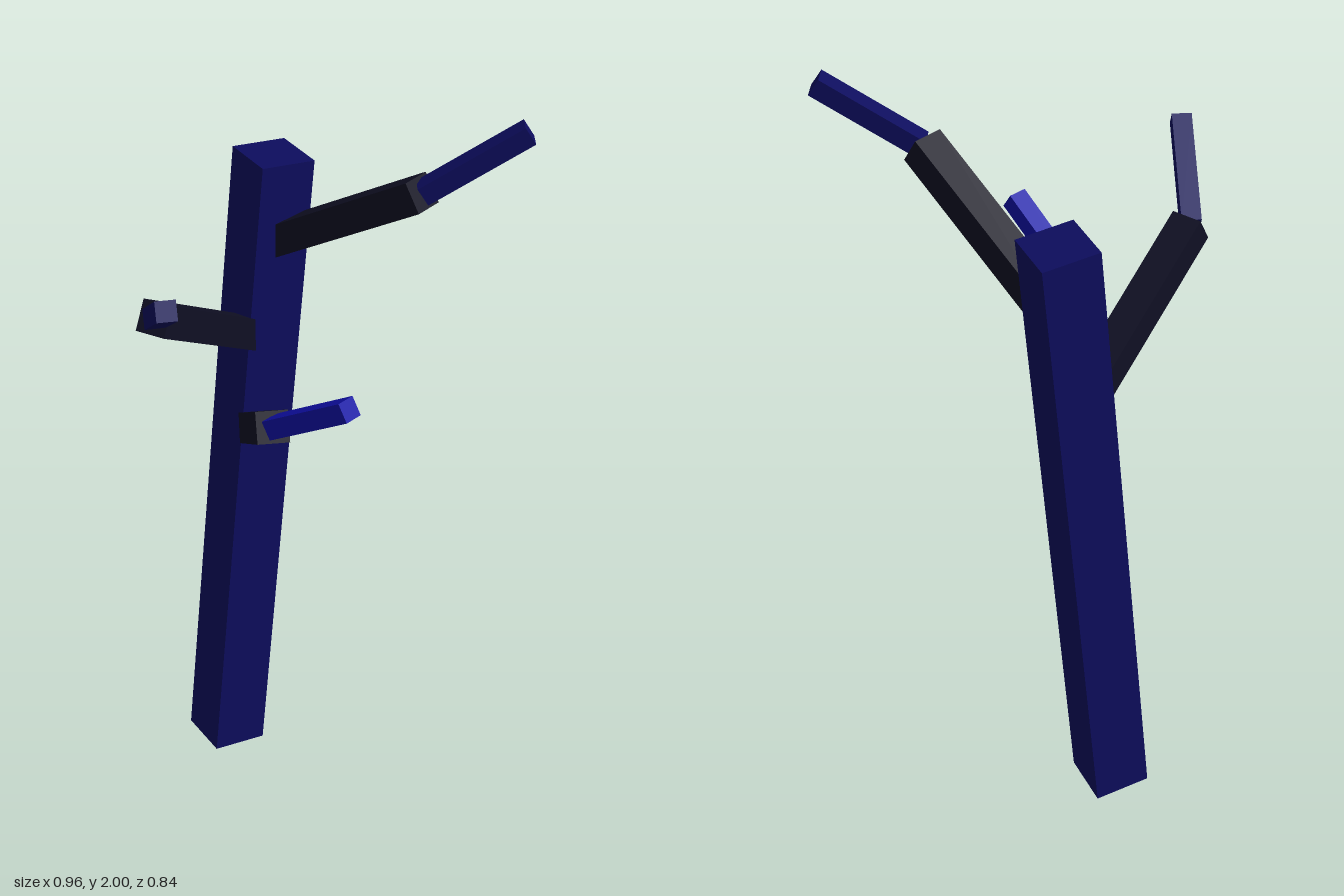
import * as THREE from 'three';

const mat = (name, color) => {
  const m = new THREE.MeshStandardMaterial({ color });
  m.name = name;
  return m;
};

// Square beam from point a to point b, keeping one pair of edges level
function beam(name, a, b, width, material) {
  const start = new THREE.Vector3(...a);
  const end = new THREE.Vector3(...b);
  const dir = end.clone().sub(start);
  const length = dir.length();
  dir.normalize();
  const side = new THREE.Vector3(0, 1, 0).cross(dir).normalize();
  const up = dir.clone().cross(side);
  const mesh = new THREE.Mesh(new THREE.BoxGeometry(width, width, length), material);
  mesh.quaternion.setFromRotationMatrix(new THREE.Matrix4().makeBasis(side, up, dir));
  mesh.position.copy(start).add(end).multiplyScalar(0.5);
  mesh.name = name;
  return mesh;
}

export function createModel() {
  const navy = mat('navy', 0x0d0d5e);
  const nearBlack = mat('nearBlack', 0x0f0f23);
  const brightBlue = mat('brightBlue', 0x0f0fa8);

  const group = new THREE.Group();
  group.name = 'bareTree';

  // Leaning trunk
  const foot = [-0.241, 0.008, -0.264];
  const top = [-0.073, 1.772, -0.324];
  group.add(beam('trunk', foot, top, 0.15, navy));

  // Each limb is a dark branch growing from the trunk axis, with a twig on its end
  const limbs = [
    { name: 'left', root: [-0.098, 1.53, -0.316], knee: [0.216, 1.823, 0.06], tip: [0.463, 1.979, 0.103], color: navy },
    { name: 'right', root: [-0.122, 1.267, -0.307], knee: [-0.441, 1.558, 0.066], tip: [-0.443, 1.715, 0.312], color: navy },
    { name: 'middle', root: [-0.148, 0.99, -0.298], knee: [-0.179, 1.298, 0.197], tip: [-0.031, 1.449, 0.394], color: brightBlue },
  ];
  for (const { name, root, knee, tip, color } of limbs) {
    group.add(beam(name + 'Branch', root, knee, 0.08, nearBlack));
    group.add(beam(name + 'Twig', knee, tip, 0.05, color));
  }
  return group;
}
